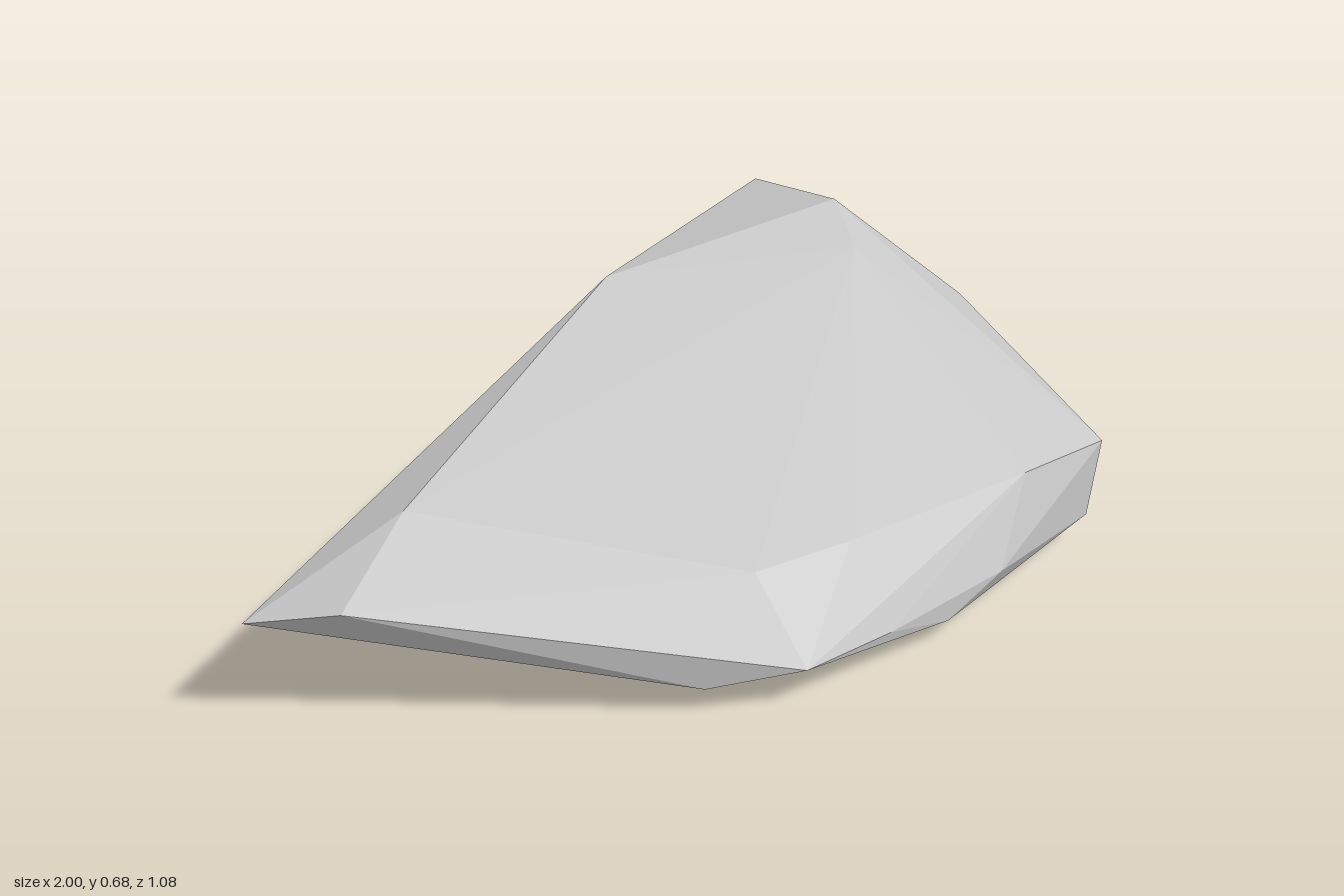
import * as THREE from 'three';
import { ConvexGeometry } from 'three/addons/geometries/ConvexGeometry.js';

// Corner points of the boulder, grouped from the crest down to the ground
const crest = [
  [-1, 0.27, -0.22], [-0.85, 0.3, -0.07], [-0.61, 0.42, -0.16],
  [0.16, 0.635, -0.39], [0.785, 0.675, -0.28], [0.73, 0.615, -0.15], [0.765, 0.645, -0.535],
];
const frontLedge = [
  [-0.05, 0.27, 0.35], [0.19, 0.275, 0.4], [0.37, 0.29, 0.37], [0.69, 0.28, 0.46],
];
const rightEnd = [
  [0.985, 0.445, -0.04], [0.98, 0.245, 0.44], [1, 0.267, 0.27],
  [0.92, 0.075, 0.46], [0.87, 0.075, 0.27], [0.82, 0.43, -0.33],
];
const back = [
  [0.36, 0.36, -0.54], [0.18, 0.33, -0.52], [-0.43, 0.32, -0.41],
  [0.18, 0.115, -0.48], [0.4, 0.1, -0.386], [0.64, 0.096, -0.13], [-0.057, 0.22, -0.43],
];
const frontFoot = [
  [-0.05, 0.1, 0.52], [0.19, 0.1, 0.535], [0.54, 0.115, 0.54],
  [0.37, 0.055, 0.54], [-0.23, 0.065, 0.39], [-0.7, 0.145, -0.1],
];
const underside = [
  [0, 0.01, 0.4], [0.18, 0, 0], [0.18, 0.005, -0.31], [0.025, 0.035, -0.37],
  [-0.175, 0.055, -0.385], [-0.17, 0.035, 0.2], [0.4, 0.015, -0.105], [0.54, 0.025, 0.2],
];

export function createModel() {
  const stone = new THREE.MeshStandardMaterial({ color: 0xc5c5c5 });
  stone.name = 'stone grey';
  stone.flatShading = true;

  // Faceted solid wrapped around all corners
  const corners = [crest, frontLedge, rightEnd, back, frontFoot, underside]
    .flat().map((p) => new THREE.Vector3(...p));
  const boulder = new THREE.Mesh(new ConvexGeometry(corners), stone);
  boulder.name = 'boulder';

  const group = new THREE.Group();
  group.name = 'rock';
  group.add(boulder);
  return group;
}
